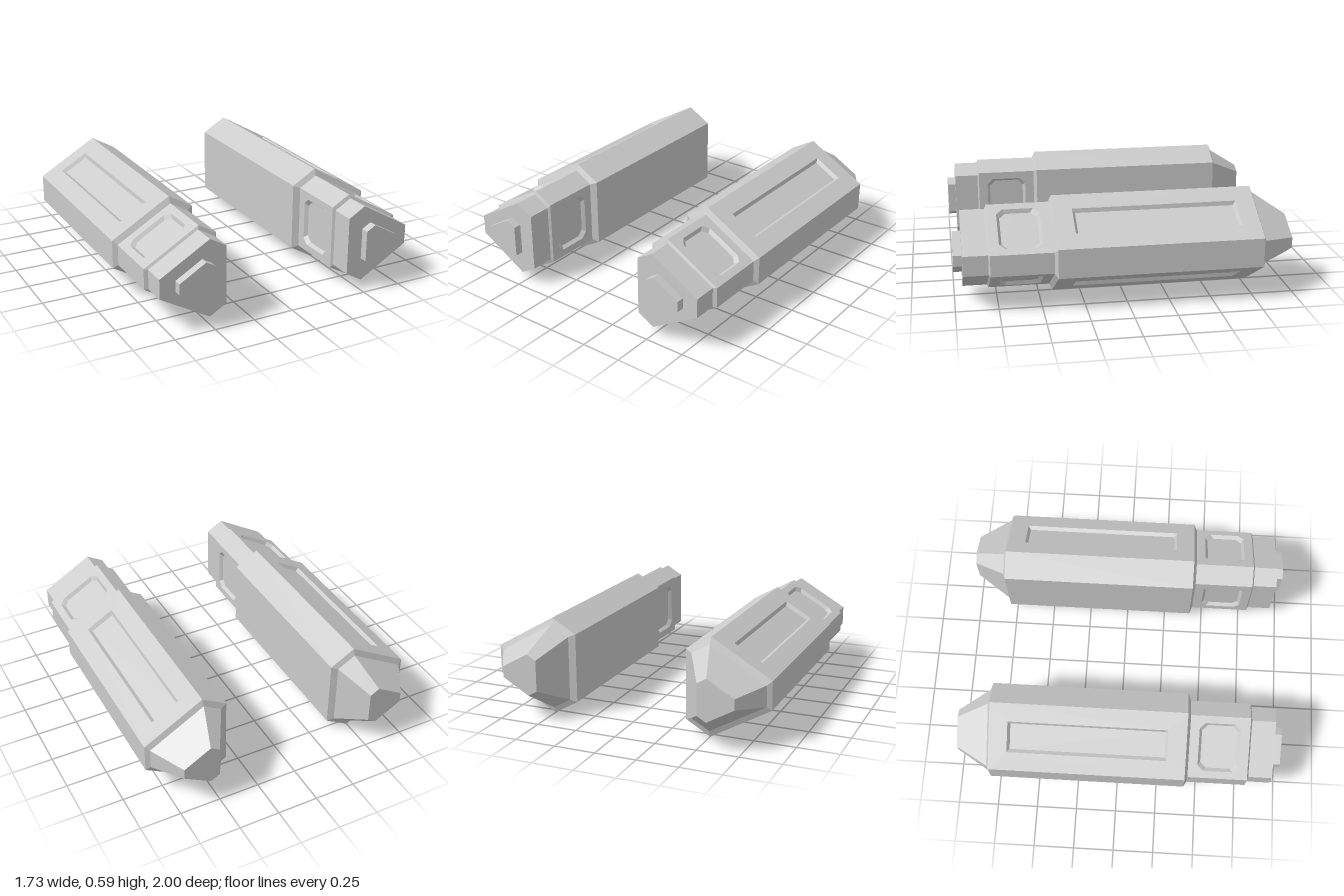
import * as THREE from 'three';
import { mergeGeometries } from 'three/addons/utils/BufferGeometryUtils.js';

const STEP = Math.PI / 3;
const material = new THREE.MeshStandardMaterial({ color: 0xcccccc, flatShading: true });

// Cross-sections: a triangle with cut corners.
// d = distance to the long sides, D = distance to the short sides, c = centre in x.
const TIP = { d: 0.092, D: 0.128, c: 0.592 };
const COLLAR = { d: 0.171, D: 0.239, c: 0.576 };
const NECK = { d: 0.186, D: 0.262, c: 0.576 };
const BODY = { d: 0.222, D: 0.293, c: 0.572 };

const sideDistance = (s, k) => (k % 2 ? s.d : s.D);

// Six corners at depth z; side k (normal at 60k degrees) runs from corner k-1 to corner k
function ring(s, z) {
  return Array.from({ length: 6 }, (_, k) => {
    const a = k * STEP, h = sideDistance(s, k);
    const t = (sideDistance(s, k + 1) - h * 0.5) / Math.sin(STEP);
    return new THREE.Vector3(
      s.c + Math.cos(a) * h - Math.sin(a) * t,
      Math.sin(a) * h + Math.cos(a) * t, z);
  });
}

function fromPoints(points) {
  const g = new THREE.BufferGeometry().setFromPoints(points);
  g.computeVertexNormals();
  return g;
}

// Flat quads joining two loops, leaving out the listed sides
function band(lower, upper, skip = []) {
  const pts = [], n = lower.length;
  for (let k = 0; k < n; k++) {
    if (skip.includes(k)) continue;
    const j = (k + n - 1) % n;
    pts.push(lower[j], lower[k], upper[k], lower[j], upper[k], upper[j]);
  }
  return fromPoints(pts);
}

function cap(loop, front) {
  const pts = [];
  for (let k = 1; k < 5; k++) {
    pts.push(loop[0], ...(front ? [loop[k], loop[k + 1]] : [loop[k + 1], loop[k]]));
  }
  return fromPoints(pts);
}

// Counter-clockwise rectangle with cut corners (cut = 0 gives a plain rectangle)
function outline(w, y0, y1, cut) {
  const x = w / 2;
  const p = cut
    ? [[x - cut, y0], [x, y0 + cut], [x, y1 - cut], [x - cut, y1],
       [cut - x, y1], [-x, y1 - cut], [-x, y0 + cut], [cut - x, y0]]
    : [[x, y0], [x, y1], [-x, y1], [-x, y0]];
  return p.map(([a, b]) => new THREE.Vector2(a, b));
}

function flat(shape, z = 0) {
  const g = new THREE.ShapeGeometry(shape).toNonIndexed();
  g.deleteAttribute('uv');
  return g.translate(0, 0, z);
}

// Long side k of a section with a bevelled recess sunk into it
function recessedSide(s, k, z0, z1, r) {
  const inset = 0.016, depth = 0.021;
  const width = 2 * (s.D - s.d * 0.5) / Math.sin(STEP);
  const rim = outline(r.w, r.z0, r.z1, r.cut);
  const floor = outline(r.w - inset * 2, r.z0 + inset, r.z1 - inset, r.cut);
  const face = new THREE.Shape(outline(width, z0, z1, 0));
  face.holes.push(new THREE.Path(rim));
  const to3 = (loop, z) => loop.map(p => new THREE.Vector3(p.x, p.y, z));
  const g = mergeGeometries([
    flat(face),
    flat(new THREE.Shape(floor), -depth),
    band(to3(rim, 0), to3(floor, -depth)),
  ]);
  const a = k * STEP;
  const n = new THREE.Vector3(Math.cos(a), Math.sin(a), 0);
  const m = new THREE.Matrix4().makeBasis(
    new THREE.Vector3(-Math.sin(a), Math.cos(a), 0), new THREE.Vector3(0, 0, 1), n);
  m.setPosition(s.c + n.x * s.d, n.y * s.d, 0);
  return g.applyMatrix4(m);
}

function createPod() {
  const pod = new THREE.Group();
  const add = (name, ...parts) => {
    const mesh = new THREE.Mesh(mergeGeometries(parts), material);
    mesh.name = name;
    pod.add(mesh);
  };

  // Tapered rear with a narrow shoulder
  add('rearTaper', cap(ring(TIP, -1), false),
    band(ring(TIP, -1), ring(NECK, -0.802)),
    band(ring(NECK, -0.802), ring(BODY, -0.787)));

  // Main body: slots on the two outward-facing long sides, inner side plain
  const slot = { w: 0.192, z0: -0.675, z1: 0.302, cut: 0 };
  add('body', band(ring(BODY, -0.787), ring(BODY, 0.415), [1, 5]),
    ...[1, 5].map(k => recessedSide(BODY, k, -0.787, 0.415, slot)));

  // Neck: a cut-corner recess on every long side
  const pocket = { w: 0.3, z0: 0.49, z1: 0.74, cut: 0.035 };
  add('neck', band(ring(BODY, 0.415), ring(NECK, 0.433)),
    band(ring(NECK, 0.433), ring(NECK, 0.796), [1, 3, 5]),
    ...[1, 3, 5].map(k => recessedSide(NECK, k, 0.433, 0.796, pocket)));

  // Front collar and end stub
  add('frontCollar', band(ring(NECK, 0.796), ring(COLLAR, 0.805)),
    band(ring(COLLAR, 0.805), ring(COLLAR, 0.95)),
    band(ring(COLLAR, 0.95), ring(TIP, 0.95)));
  add('frontStub', band(ring(TIP, 0.95), ring(TIP, 1)), cap(ring(TIP, 1), true));
  return pod;
}

export function createModel() {
  const model = new THREE.Group();
  // The section is symmetric top to bottom, so a half turn mirrors the pod
  ['leftPod', 'rightPod'].forEach((name, i) => {
    const pod = createPod();
    pod.name = name;
    pod.position.y = 0.298;
    pod.rotation.z = i * Math.PI;
    model.add(pod);
  });
  return model;
}
